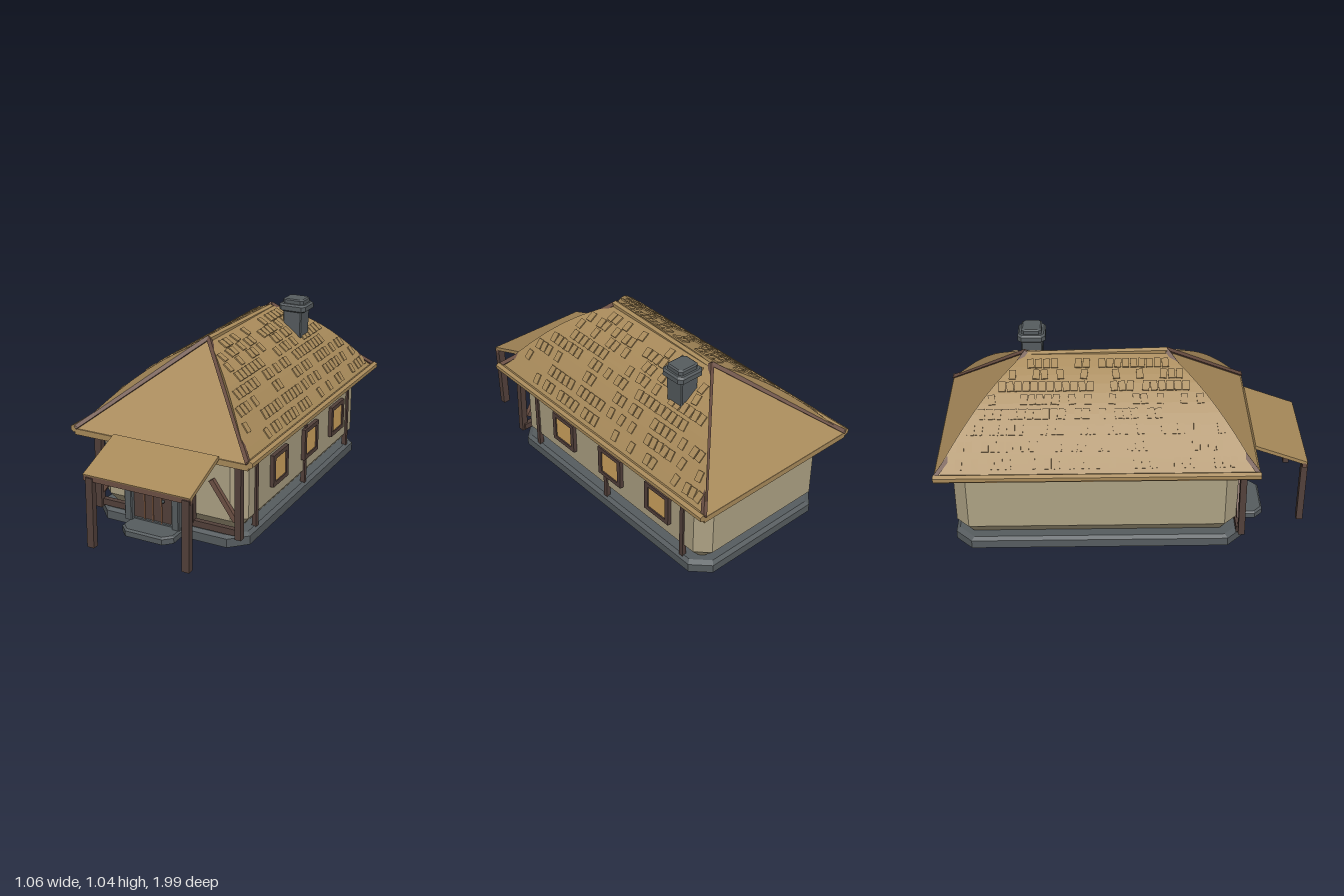
import * as THREE from 'three';
import { mergeGeometries } from 'three/addons/utils/BufferGeometryUtils.js';

const V = (x, y, z) => new THREE.Vector3(x, y, z);
const lerp = THREE.MathUtils.lerp;

export function createModel() {
  const group = new THREE.Group();
  const mat = (name, color, side = THREE.FrontSide) => {
    const m = new THREE.MeshStandardMaterial({ color, side });
    m.name = name;
    return m;
  };
  const straw = mat('straw', 0xa88a5a, THREE.DoubleSide);
  const plaster = mat('plaster', 0xaca183);
  const stone = mat('stone', 0x565c5f);
  const wood = mat('darkWood', 0x52403a);
  const trim = mat('trimWood', 0x6c5044);
  const plankLine = mat('plankLine', 0x80583f);
  const glow = mat('windowGlow', 0xd0a45f);
  const iron = mat('iron', 0x3a4548);

  const add = (name, geo, material) => {
    const m = new THREE.Mesh(geo, material);
    m.name = name;
    group.add(m);
    return m;
  };
  // box given by its minimum and maximum corners
  const box = (name, x0, x1, y0, y1, z0, z1, material) => {
    const m = add(name, new THREE.BoxGeometry(x1 - x0, y1 - y0, z1 - z0), material);
    m.position.set((x0 + x1) / 2, (y0 + y1) / 2, (z0 + z1) / 2);
    return m;
  };
  // square or round beam between two points
  const beam = (name, a, b, w, d, material, sides = 0) => {
    const len = a.distanceTo(b);
    const geo = sides ? new THREE.CylinderGeometry(w, w, len, sides).toNonIndexed()
      : new THREE.BoxGeometry(w, len, d);
    if (sides) geo.computeVertexNormals();
    const m = add(name, geo, material);
    m.position.copy(a).add(b).multiplyScalar(0.5);
    m.quaternion.setFromUnitVectors(V(0, 1, 0), b.clone().sub(a).normalize());
    return m;
  };
  const faces = (points) => {
    const g = new THREE.BufferGeometry().setFromPoints(points);
    g.computeVertexNormals();
    return g;
  };
  // block with cut corners; each level is [y, halfWidth, halfDepth, cornerCut]
  const block = (name, cx, cz, levels, material) => {
    const rings = levels.map(([y, w, d, c]) => [
      [w, -d + c], [w, d - c], [w - c, d], [-w + c, d],
      [-w, d - c], [-w, -d + c], [-w + c, -d], [w - c, -d],
    ].map(([x, z]) => V(cx + x, y, cz + z)));
    const p = [];
    const lo = V(cx, levels[0][0], cz), hi = V(cx, levels[levels.length - 1][0], cz);
    const top = rings[rings.length - 1];
    for (let i = 0; i < 8; i++) {
      const j = (i + 1) % 8;
      for (let k = 0; k + 1 < rings.length; k++) {
        const a = rings[k][i], b = rings[k][j], c = rings[k + 1][i], d = rings[k + 1][j];
        p.push(a, c, b, b, c, d);
      }
      p.push(lo, rings[0][i], rings[0][j], hi, top[j], top[i]);
    }
    return add(name, faces(p), material);
  };

  // stone base, doorstep and plaster walls
  block('plinth', 0, -0.135, [[0, 0.4, 0.735, 0.08], [0.022, 0.45, 0.785, 0.09],
    [0.07, 0.45, 0.785, 0.09], [0.085, 0.43, 0.765, 0.085]], stone);
  block('doorstep', -0.055, 0.665, [[0.01, 0.13, 0.09, 0.04], [0.022, 0.155, 0.115, 0.045],
    [0.052, 0.155, 0.115, 0.045], [0.062, 0.145, 0.105, 0.04]], stone);
  block('walls', 0, -0.15, [[0.08, 0.37, 0.69, 0.02], [0.155, 0.43, 0.76, 0.07],
    [0.455, 0.43, 0.76, 0.07], [0.51, 0.37, 0.69, 0.02]], plaster);

  // front timber frame
  beam('cornerPostLeft', V(0.425, 0.08, 0.635), V(0.42, 0.51, 0.63), 0.035, 0.035, wood);
  beam('cornerPostRight', V(-0.412, 0.08, 0.635), V(-0.402, 0.51, 0.63), 0.04, 0.035, wood);
  box('middlePost', 0.13, 0.162, 0.1, 0.51, 0.605, 0.64, wood);
  box('sillBeam', -0.42, 0.43, 0.09, 0.125, 0.605, 0.635, wood);
  beam('braceRight', V(-0.4, 0.17, 0.62), V(-0.26, 0.37, 0.62), 0.028, 0.025, trim);
  beam('braceLeft', V(0.4, 0.17, 0.62), V(0.26, 0.37, 0.62), 0.028, 0.025, trim);

  // side posts and windows on the left wall
  for (const z of [0.46, -0.15, -0.76]) box('sidePost', 0.415, 0.44, 0.08, 0.51, z - 0.013, z + 0.013, wood);
  for (const z of [0.2, -0.2, -0.58]) {
    for (const s of [-1, 1]) {
      box('windowFrameSide', 0.42, 0.452, 0.23, 0.41, z + s * 0.079 - 0.013, z + s * 0.079 + 0.013, wood);
      const y = 0.32 + s * 0.078;
      box('windowFrameRail', 0.42, 0.452, y - 0.012, y + 0.012, z - 0.068, z + 0.068, wood);
    }
    box('windowPane', 0.436, 0.445, 0.253, 0.387, z - 0.067, z + 0.067, glow);
  }

  // arched door with plank lines, knob and stone surround
  const arch = new THREE.Shape();
  arch.moveTo(-0.135, 0).lineTo(0.135, 0).lineTo(0.135, 0.25);
  arch.quadraticCurveTo(0.12, 0.33, 0.06, 0.35).lineTo(-0.06, 0.35);
  arch.quadraticCurveTo(-0.12, 0.33, -0.135, 0.25);
  add('door', new THREE.ExtrudeGeometry(arch, { depth: 0.04, bevelEnabled: false, curveSegments: 5 }), wood)
    .position.set(-0.07, 0.06, 0.605);
  for (const x of [-0.125, -0.075, -0.022]) box('plankLine', x - 0.003, x + 0.003, 0.065, 0.325, 0.645, 0.65, plankLine);
  add('doorKnob', new THREE.SphereGeometry(0.009, 8, 6), iron).position.set(-0.008, 0.2, 0.655);
  for (const s of [-1, 1]) {
    const x = -0.07 + s * 0.142;
    block('doorJamb', x, 0.645, [[0.06, 0.022, 0.028, 0.005], [0.335, 0.022, 0.028, 0.005],
      [0.342, 0.018, 0.022, 0.004]], stone);
    beam('archStone', V(x + s * 0.005, 0.342, 0.635), V(x - s * 0.012, 0.4, 0.635), 0.03, 0.03, stone);
  }

  // porch
  for (const x of [-0.23, 0.32]) beam('porchPost', V(x - 0.003, 0.04, 0.98), V(x + 0.003, 0.425, 0.98), 0.04, 0.035, wood);
  box('porchLintel', -0.265, 0.345, 0.405, 0.432, 0.965, 0.99, trim);
  const porch = box('porchRoof', -0.265, 0.345, 0.475, 0.495, 0.69, 0.998, straw);
  porch.position.set(0.04, 0.484, 0.845);
  porch.rotation.x = Math.atan2(0.11, 0.29);

  // roof: flat hips front and back, bulging sides
  const apexX = 0.035, eaveY = 0.53, ridgeY = 0.97;
  const front = (t) => lerp(0.7, 0.23, t), back = (t) => lerp(-0.99, -0.52, t);
  const rise = (t) => lerp(eaveY, ridgeY, t);
  const curve = (t) => rise(t) + 0.06 * Math.sin(Math.PI * t);
  const across = (s, t) => lerp(s * 0.5, apexX, t);
  box('eaveSlab', -0.505, 0.505, 0.5, 0.532, -0.99, 0.705, straw);
  add('frontHip', faces([V(-0.5, eaveY, 0.7), V(0.5, eaveY, 0.7), V(apexX, ridgeY, 0.23)]), straw);
  add('backHip', faces([V(0.5, eaveY, -0.99), V(-0.5, eaveY, -0.99), V(apexX, ridgeY, -0.52)]), straw);
  let seed = 7;
  const rand = () => (seed = (seed * 16807) % 2147483647) / 2147483647;
  for (const s of [-1, 1]) {
    const p = [];
    const quad = (a, b, c, d) => (s > 0 ? p.push(a, b, c, a, c, d) : p.push(a, c, b, a, d, c));
    const N = 12;
    for (let i = 0; i < N; i++) {
      const t = i / N, u = (i + 1) / N, x = across(s, t), X = across(s, u);
      quad(V(x, curve(t), front(t)), V(x, curve(t), back(t)), V(X, curve(u), back(u)), V(X, curve(u), front(u)));
      quad(V(x, rise(t), front(t)), V(x, curve(t), front(t)), V(X, curve(u), front(u)), V(X, rise(u), front(u)));
      quad(V(x, curve(t), back(t)), V(x, rise(t), back(t)), V(X, rise(u), back(u)), V(X, curve(u), back(u)));
    }
    add('roofSide', faces(p), straw);

    // scattered shingles in rows
    const tiles = [];
    for (let r = 0; r < 8; r++) {
      const t = 0.08 + r * 0.112;
      const angle = Math.atan2(curve(t + 0.01) - curve(t - 0.01), across(s, t + 0.01) - across(s, t - 0.01));
      for (let z = back(t) + 0.05; z < front(t) - 0.04; z += 0.042) {
        if (rand() < 0.4) continue;
        const g = new THREE.BoxGeometry(0.055, 0.01, 0.036);
        g.rotateY((rand() - 0.5) * 0.25);
        g.rotateZ(angle);
        g.translate(across(s, t), curve(t) + 0.002, z);
        tiles.push(g);
      }
    }
    add('shingles', mergeGeometries(tiles), straw);

    // eave logs and hip boards
    beam('eaveLog', V(s * 0.512, 0.533, -0.99), V(s * 0.512, 0.533, 0.705), 0.021, 0, straw, 6);
    beam('frontHipBoard', V(s * 0.505, 0.535, 0.7), V(apexX, 0.975, 0.23), 0.022, 0.022, trim);
    beam('backHipBoard', V(s * 0.505, 0.535, -0.985), V(apexX, 0.97, -0.52), 0.022, 0.022, trim);
  }
  beam('ridgeLog', V(apexX, 0.97, 0.235), V(apexX, 0.952, -0.525), 0.02, 0, straw, 6);

  // chimney
  block('chimneyStack', 0.207, -0.495, [[0.79, 0.052, 0.055, 0.006], [0.98, 0.056, 0.058, 0.006]], stone);
  block('chimneyCollar', 0.207, -0.495, [[0.968, 0.07, 0.065, 0.018], [0.976, 0.081, 0.075, 0.02],
    [1.002, 0.081, 0.075, 0.02], [1.012, 0.072, 0.066, 0.018]], stone);
  block('chimneyCap', 0.207, -0.495, [[1.01, 0.062, 0.055, 0.015], [1.032, 0.062, 0.055, 0.015],
    [1.038, 0.054, 0.047, 0.013]], stone);

  return group;
}
